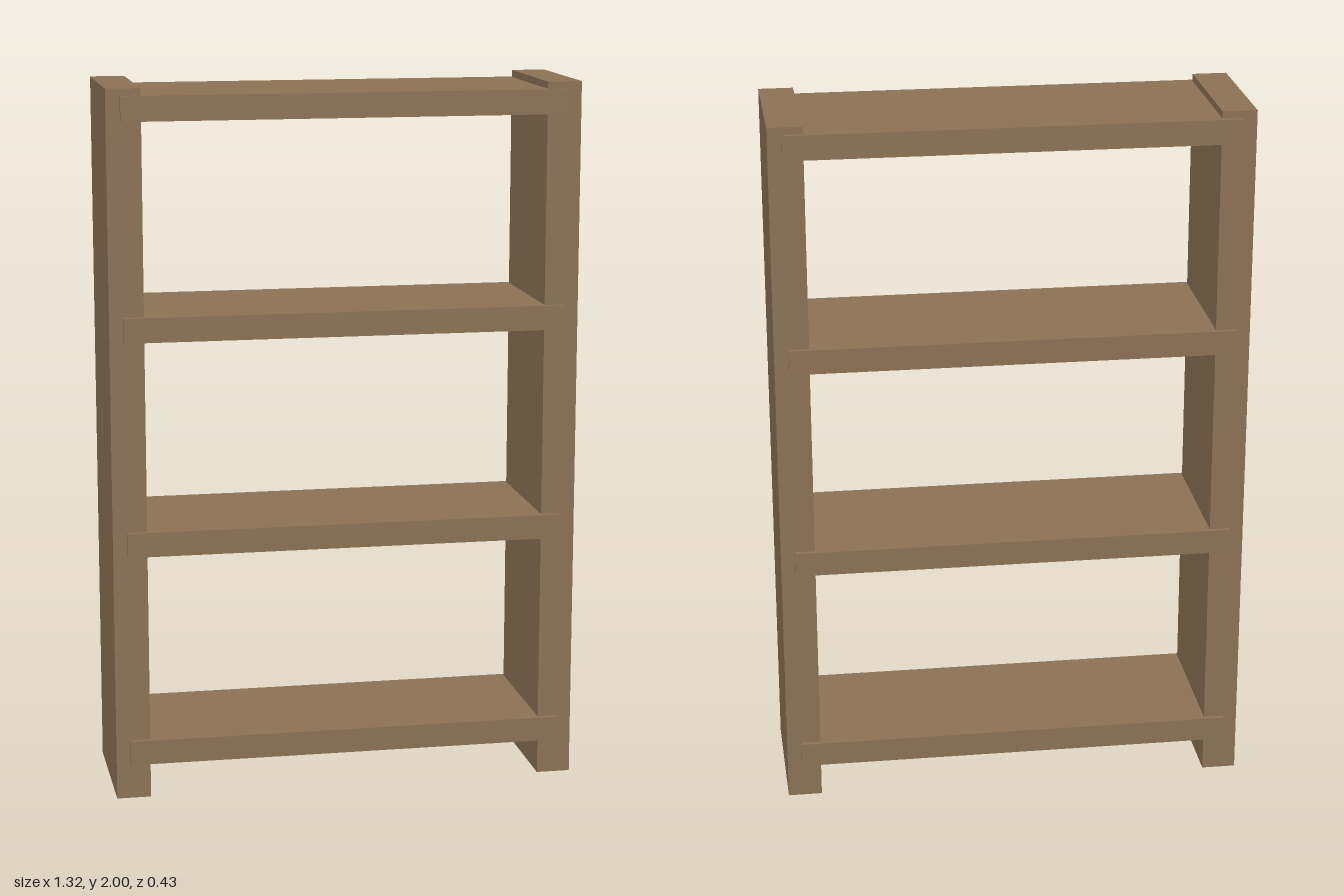
import * as THREE from 'three';

export function createModel() {
  const group = new THREE.Group();
  const wood = new THREE.MeshStandardMaterial({ color: 0x8b7355 });
  wood.name = 'brown wood';

  const addBoard = (name, width, height, depth, x, y) => {
    const mesh = new THREE.Mesh(new THREE.BoxGeometry(width, height, depth), wood);
    mesh.name = name;
    mesh.position.set(x, y, 0);
    group.add(mesh);
  };

  // Upright side panels
  addBoard('leftSidePanel', 0.096, 2, 0.406, 0.612, 1);
  addBoard('rightSidePanel', 0.096, 2, 0.406, -0.612, 1);

  // Evenly spaced shelves, passing through the panels and slightly proud of them
  for (let i = 0; i < 4; i++) {
    addBoard(`shelf${i + 1}`, 1.242, 0.069, 0.432, 0, 0.135 + i * 0.6035);
  }

  return group;
}
